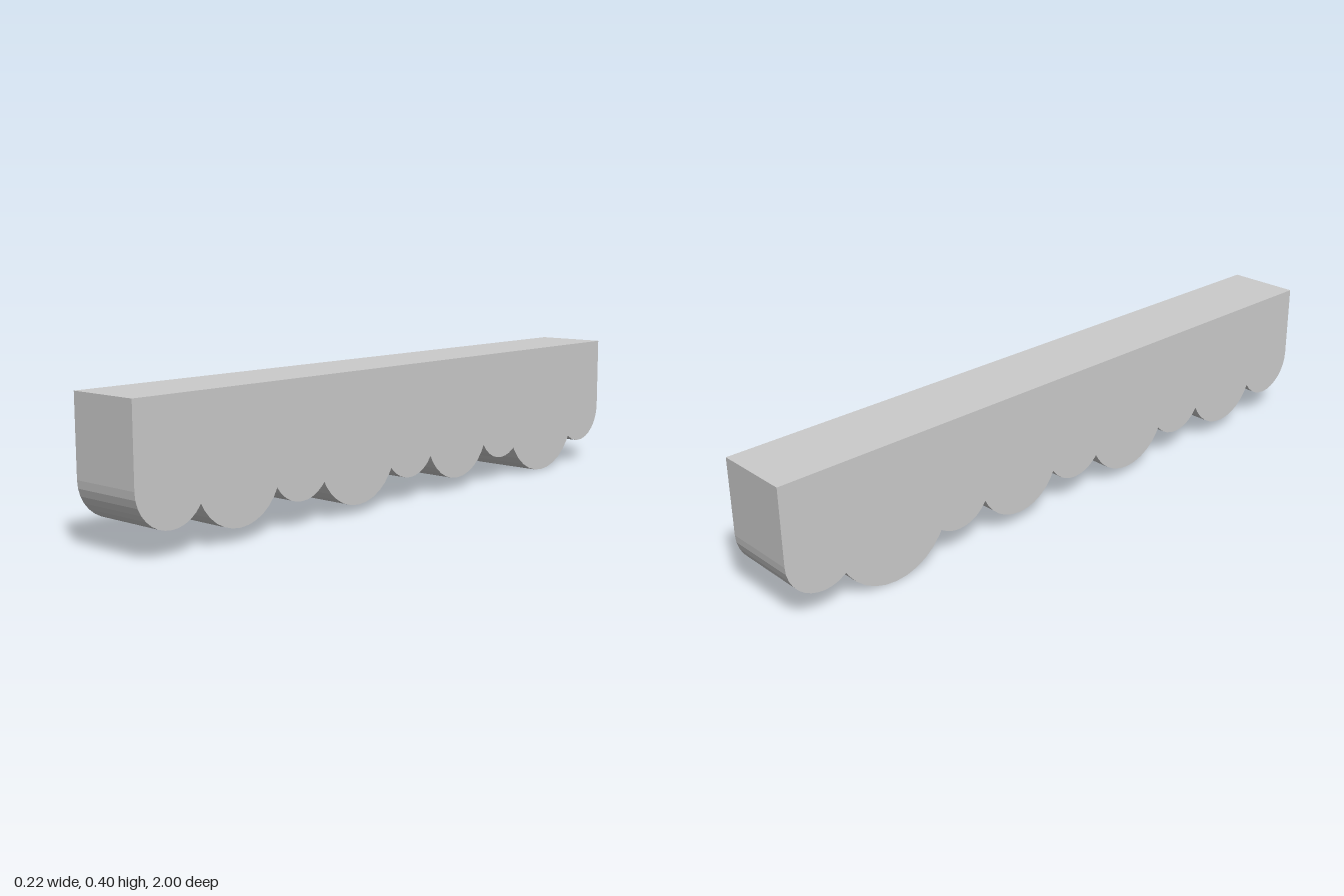
import * as THREE from 'three';

const WIDTH = 0.222, TOP = 0.4, AXIS = 0.18, STEP = Math.PI / 16;

// Scallop radii from front (+z) to back, all centred on one horizontal line
const RADII = [0.11, 0.143, 0.11, 0.155, 0.11, 0.143, 0.11, 0.18, 0.11];
const SPACING = 0.2225;
const centre = (i) => 0.89 - i * SPACING;

// Angle below the horizontal at which circle i meets its neighbour j
function meetAngle(i, j) {
  const r = RADII[i], n = RADII[j];
  return Math.acos((SPACING ** 2 + r * r - n * n) / (2 * SPACING * r));
}

export function createModel() {
  const group = new THREE.Group();
  group.name = 'scallopedValance';

  // Side outline: straight top and ends, scalloped lower edge (shape x = world z)
  const outline = [new THREE.Vector2(-1, TOP), new THREE.Vector2(1, TOP)];
  const last = RADII.length - 1;
  RADII.forEach((r, i) => {
    const start = i === 0 ? 0 : meetAngle(i, i - 1);
    const end = Math.PI - (i === last ? 0 : meetAngle(i, i + 1));
    const angles = [start];
    for (let k = 0; k <= 16; k++) {
      const a = k * STEP;
      if (a > start + 0.02 && a < end - 0.02) angles.push(a);
    }
    // The shared cusp is added by the next scallop
    if (i === last) angles.push(end);
    for (const a of angles) {
      outline.push(new THREE.Vector2(centre(i) + r * Math.cos(a), AXIS - r * Math.sin(a)));
    }
  });

  const geometry = new THREE.ExtrudeGeometry(new THREE.Shape(outline), {
    depth: WIDTH, bevelEnabled: false,
  });
  geometry.rotateY(-Math.PI / 2);
  geometry.translate(WIDTH / 2, 0, 0);

  const material = new THREE.MeshStandardMaterial({ color: 0xcccccc, flatShading: true });
  const board = new THREE.Mesh(geometry, material);
  board.name = 'scallopedBoard';
  group.add(board);
  return group;
}
